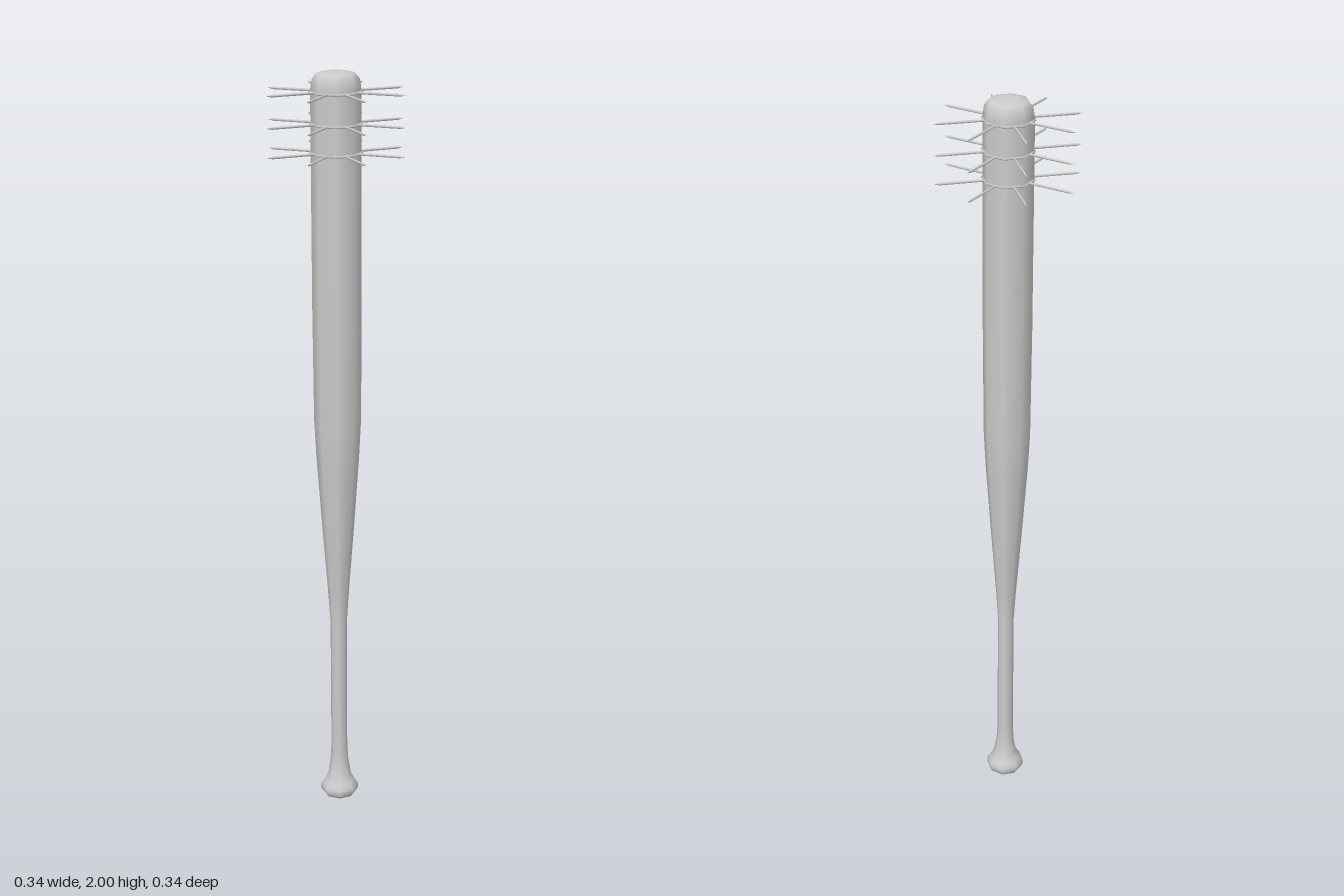
import * as THREE from 'three';

const grey = new THREE.MeshStandardMaterial({ color: 0xcccccc });

function add(parent, name, geometry) {
  const mesh = new THREE.Mesh(geometry, grey);
  mesh.name = name;
  parent.add(mesh);
  return mesh;
}

function lathe(points, sides) {
  return new THREE.LatheGeometry(points.map(([r, y]) => new THREE.Vector2(r, y)), sides);
}

export function createModel() {
  const model = new THREE.Group();
  model.name = 'spikedBat';

  // The bat leans very slightly towards its right
  const bat = new THREE.Group();
  bat.name = 'bat';
  bat.position.x = 0.011;
  bat.rotation.z = 0.0055;
  model.add(bat);

  // Eight-sided body: knob, handle, taper, barrel and rounded end
  add(bat, 'body', lathe([
    [0, 0], [0.044, 0.002], [0.051, 0.012], [0.052, 0.026], [0.044, 0.038],
    [0.032, 0.06], [0.025, 0.1], [0.022, 0.15], [0.022, 0.52], [0.027, 0.6],
    [0.042, 0.8], [0.056, 1.0], [0.061, 1.1], [0.063, 1.4], [0.063, 1.955],
    [0.059, 1.981], [0.049, 1.995], [0.03, 1.999], [0, 2],
  ], 8));

  // Three rows of nails, each held by a thin wire band
  const nailGeometry = lathe([
    [0, 0.045], [0.0033, 0.045], [0.0033, 0.168], [0, 0.183],
  ], 6);
  nailGeometry.rotateX(Math.PI / 2);
  [1.8, 1.872, 1.95].forEach((y, row) => {
    const nails = new THREE.Group();
    nails.name = `nailRow${row + 1}`;
    nails.position.y = y;
    bat.add(nails);

    const band = add(nails, 'wireBand', new THREE.TorusGeometry(0.064, 0.003, 4, 8));
    band.rotation.x = Math.PI / 2;

    for (let i = 0; i < 8; i++) {
      const nail = add(nails, 'nail', nailGeometry);
      nail.rotation.y = (i + 0.5) * Math.PI / 4;
    }
  });

  return model;
}
